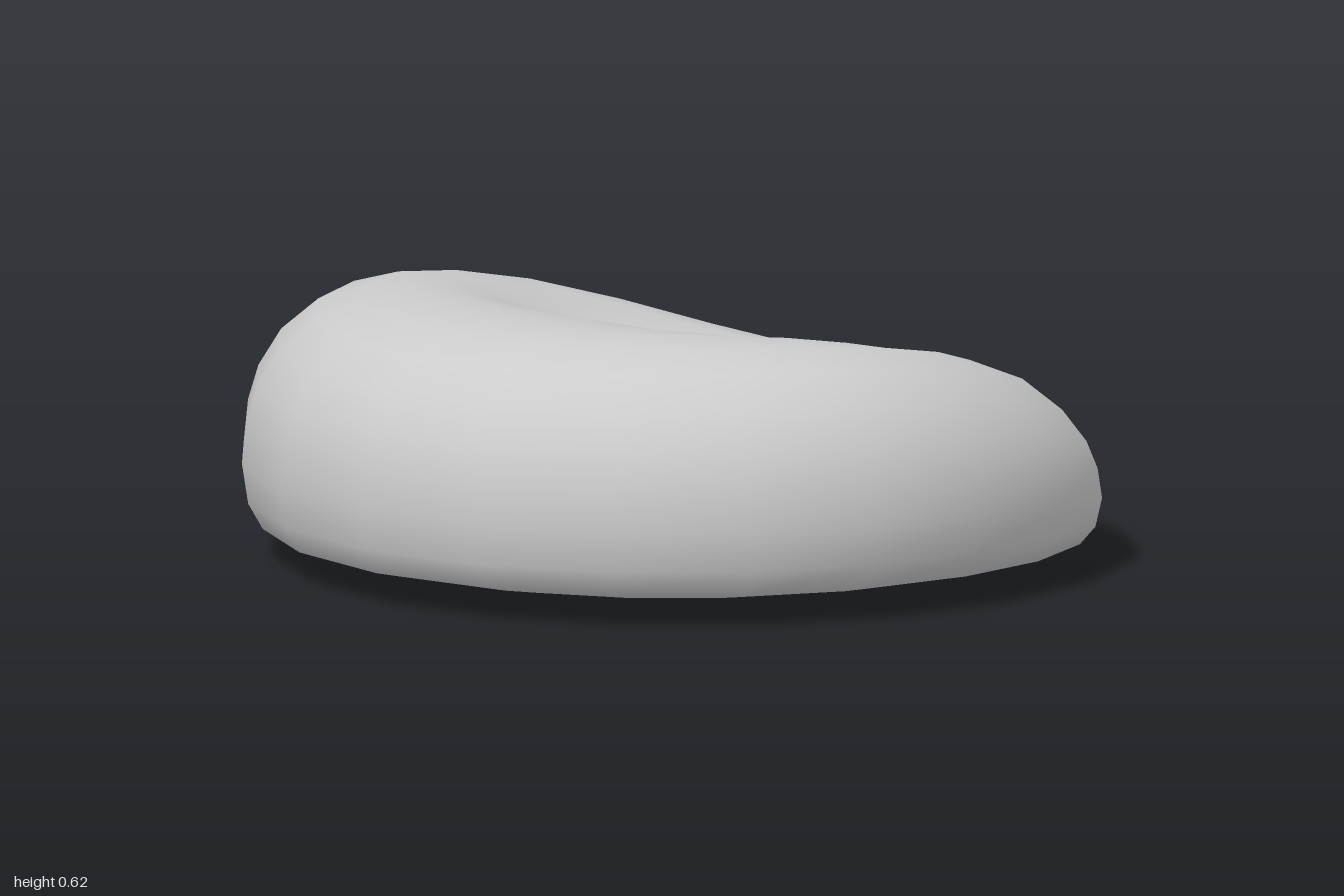
import * as THREE from 'three';

const SIDES = 20;

// Cross-section from underside to top: [radius fraction, height fraction]
const PROFILE = [
  [0.2, 0.015], [0.45, 0.025], [0.67, 0.036], [0.85, 0.09], [0.95, 0.125], [0.985, 0.22],
  [1, 0.37], [0.99, 0.52], [0.965, 0.65], [0.91, 0.79], [0.82, 0.91], [0.7, 0.975],
  [0.58, 1], [0.46, 1], [0.34, 1], [0.22, 1], [0.11, 1],
];

// Overall height, level at the backrest (-x) and sloping down towards +x,
// where the far side stays a little higher
function crown(x, z) {
  const t = Math.max(0, (x + 0.3) / 1.23);
  return 0.62 - 0.32 * t * t - 0.025 * z * t;
}

// Depth of the seat hollow, steep at the backrest and gentle towards +x
function hollow(x, z) {
  const dx = (x - 0.12) / (x < 0.12 ? 0.28 : 0.42);
  return 0.195 * Math.exp(-dx * dx - Math.abs(z / 0.47) ** 2.6);
}

function createCushion() {
  const pos = [0, 0, 0];
  const index = [];

  // Rings of the closed bag, with a squarer outline at the +x end
  PROFILE.forEach(([r, h], i) => {
    for (let k = 0; k < SIDES; k++) {
      const a = (k / SIDES) * Math.PI * 2;
      const t = a + 0.07 - 0.06 * Math.sin(a);
      const bulge = 1 + (Math.cos(t) > 0 ? 0.05 : -0.015) * Math.sin(2 * t) ** 2;
      const x = 0.938 * r * bulge * Math.cos(t);
      const z = r * bulge * Math.sin(t);
      const dent = i > 8 ? hollow(x, z) : 0;
      pos.push(x, h * crown(x, z) - dent, z);
    }
  });
  const top = pos.length / 3;
  pos.push(0, crown(0, 0) - hollow(0, 0), 0);

  // Skin between rings, closed by a fan at each pole
  const at = (i, k) => 1 + i * SIDES + (k % SIDES);
  const last = PROFILE.length - 1;
  for (let k = 0; k < SIDES; k++) {
    index.push(0, at(0, k), at(0, k + 1));
    for (let i = 0; i < last; i++) {
      const a = at(i, k), b = at(i, k + 1), c = at(i + 1, k), d = at(i + 1, k + 1);
      index.push(a, c, b, b, c, d);
    }
    index.push(at(last, k), top, at(last, k + 1));
  }

  const geo = new THREE.BufferGeometry();
  geo.setAttribute('position', new THREE.Float32BufferAttribute(pos, 3));
  geo.setIndex(index);
  geo.computeVertexNormals();
  return geo;
}

export function createModel() {
  const group = new THREE.Group();
  group.name = 'beanbagChair';
  const cushion = new THREE.Mesh(
    createCushion(),
    new THREE.MeshStandardMaterial({ color: 0xcccccc })
  );
  cushion.name = 'cushion';
  group.add(cushion);
  return group;
}
